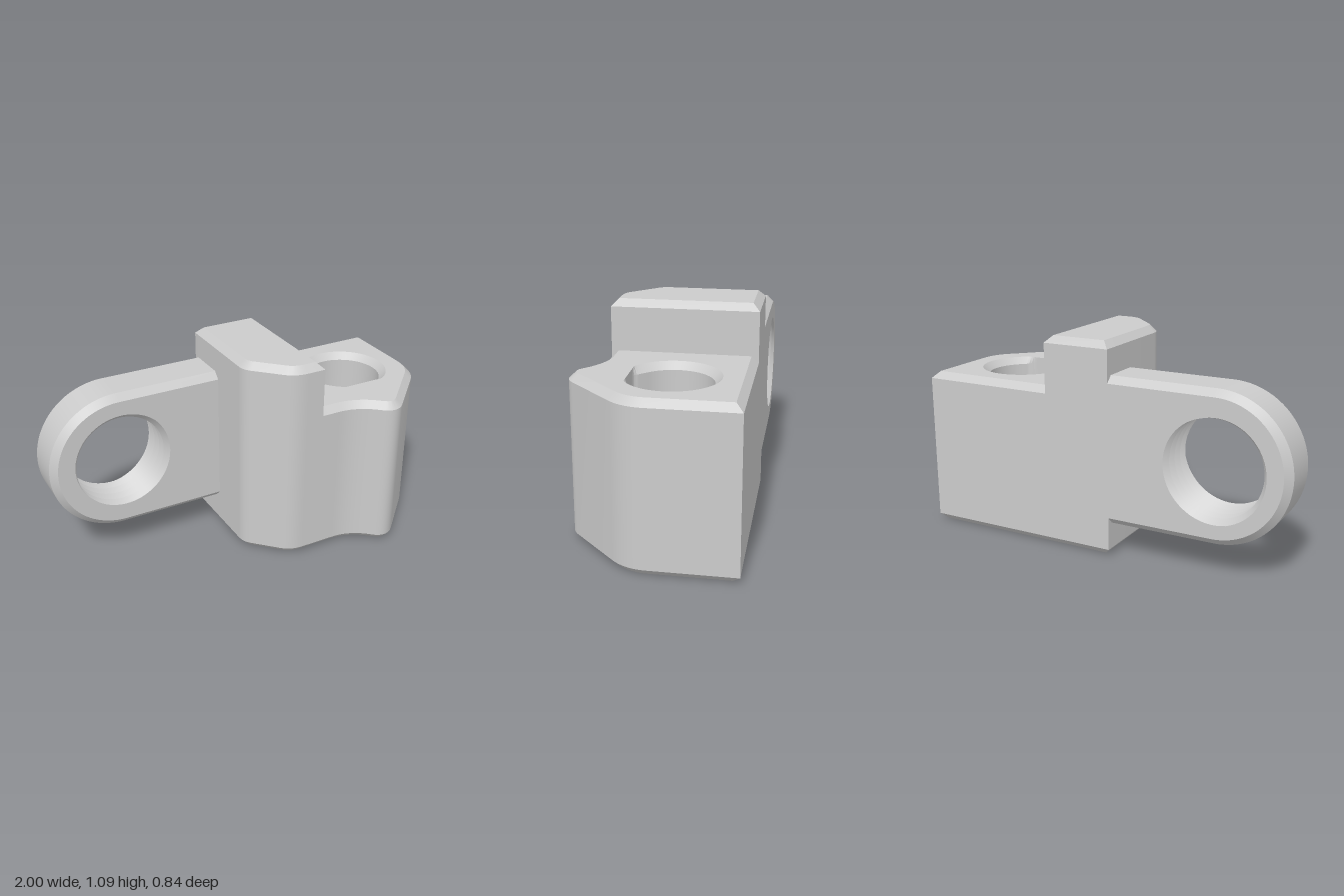
import * as THREE from 'three';
import { toCreasedNormals } from 'three/addons/utils/BufferGeometryUtils.js';

const CHAMFER = 0.035;
const at = (pts, h) => pts.map(p => new THREE.Vector3(p.x, p.y, h));

// Adds one triangle, skipping collapsed ones.
function addTri(out, a, b, c) {
  const area = b.clone().sub(a).cross(c.clone().sub(a)).length();
  if (area > 1e-9) for (const p of [a, b, c]) out.push(p.x, p.y, p.z);
}

// Skin between consecutive loops; rising loops face outward, falling ones inward.
function loft(out, loops, closed = true) {
  for (let k = 0; k + 1 < loops.length; k++) {
    const lo = loops[k], hi = loops[k + 1], n = lo.length;
    for (let i = 0; i < (closed ? n : n - 1); i++) {
      const j = (i + 1) % n;
      addTri(out, lo[i], lo[j], hi[j]);
      addTri(out, lo[i], hi[j], hi[i]);
    }
  }
}

// Flat face with optional hole, facing up or down the extrusion axis.
function cap(out, pts, h, up, hole = null) {
  const holes = hole ? [hole.slice().reverse()] : [];
  const all = at([...pts, ...holes.flat()], h);
  for (const [a, b, c] of THREE.ShapeUtils.triangulateShape(pts.slice(), holes)) {
    const ccw = (all[b].x - all[a].x) * (all[c].y - all[a].y) - (all[b].y - all[a].y) * (all[c].x - all[a].x) > 0;
    if (ccw === up) addTri(out, all[a], all[b], all[c]);
    else addTri(out, all[a], all[c], all[b]);
  }
}

// Moves each edge of a counter-clockwise outline inward by its own distance.
function inset(pts, dist) {
  const n = pts.length;
  const normals = pts.map((p, i) => {
    const q = pts[(i + 1) % n];
    return new THREE.Vector2(p.y - q.y, q.x - p.x).normalize();
  });
  return pts.map((p, i) => {
    const k = (i + n - 1) % n, a = normals[k], b = normals[i], da = dist(k), db = dist(i);
    const det = a.x * b.y - a.y * b.x;
    if (Math.abs(det) < 1e-4) return new THREE.Vector2(p.x + a.x * da, p.y + a.y * da);
    return new THREE.Vector2(p.x + (da * b.y - db * a.y) / det, p.y + (a.x * db - b.x * da) / det);
  });
}

// Prism with chamfered ends; edges named in the skip arguments stay sharp.
function prism(out, pts, h0, h1, { skipLow = -1, skipHigh = -1, holeLow, holeHigh } = {}) {
  const low = inset(pts, i => (i === skipLow ? 0 : CHAMFER));
  const high = inset(pts, i => (i === skipHigh ? 0 : CHAMFER));
  loft(out, [at(low, h0), at(pts, h0 + CHAMFER)]);
  loft(out, [at(pts, h0 + CHAMFER), at(pts, h1 - CHAMFER)]);
  loft(out, [at(pts, h1 - CHAMFER), at(high, h1)]);
  cap(out, low, h0, false, holeLow);
  cap(out, high, h1, true, holeHigh);
}

// Closed or open ring of points whose radius depends on the angle.
function ring(cx, cy, n, radius) {
  return Array.from({ length: n }, (_, i) => {
    const t = i / n * Math.PI * 2, r = radius(t);
    return new THREE.Vector2(cx + r * Math.cos(t), cy + r * Math.sin(t));
  });
}

function makeMesh(name, out) {
  const geo = new THREE.BufferGeometry();
  geo.setAttribute('position', new THREE.Float32BufferAttribute(out, 3));
  const mesh = new THREE.Mesh(toCreasedNormals(geo, 0.5), new THREE.MeshStandardMaterial({ color: 0xcccccc }));
  mesh.name = name;
  return mesh;
}

// Tall block beside the plate, drawn in plan (back is up).
function makeTower() {
  const s = new THREE.Shape();
  s.moveTo(0.285, 0.42);
  s.lineTo(-0.07, 0.42);
  s.lineTo(-0.07, -0.07);
  s.quadraticCurveTo(-0.07, -0.115, -0.038, -0.147);
  s.lineTo(0.08, -0.265);
  s.quadraticCurveTo(0.12, -0.305, 0.19, -0.305);
  s.lineTo(0.285, -0.305);
  const pts = s.getPoints(8), out = [];
  prism(out, pts, 0, 1.09, { skipLow: pts.length - 1 });
  return makeMesh('tower', out);
}

// Lower block with pointed front and a blind teardrop socket in its top.
function makeBlock() {
  const s = new THREE.Shape();
  s.moveTo(1, 0.42);
  s.lineTo(0.285, 0.42);
  s.lineTo(0.285, -0.305);
  s.lineTo(0.38, -0.305);
  s.quadraticCurveTo(0.495, -0.305, 0.581, -0.391);
  s.quadraticCurveTo(0.645, -0.45, 0.709, -0.391);
  s.lineTo(0.929, -0.171);
  s.quadraticCurveTo(1, -0.1, 1, 0);
  const out = [], flat = 0.2, R = 0.195, floor = 0.12, top = 0.835;
  const fromFront = t => Math.abs(t - Math.PI * 1.5);
  const cut = f => (f < 1 ? flat / Math.cos(f) : Infinity);
  const rim = ring(0.645, 0.06, 96, t => Math.min(0.23, cut(fromFront(t))));
  const bore = ring(0.645, 0.06, 96, t => {
    const f = fromFront(t);
    return f < Math.PI / 4 ? Math.min(R / Math.cos(f - Math.PI / 4), cut(f)) : R;
  });
  prism(out, s.getPoints(10), 0, top, { skipLow: 1, skipHigh: 1, holeHigh: rim });
  loft(out, [at(rim, top), at(bore, top - CHAMFER), at(bore, floor)]);
  cap(out, bore, floor, true);
  return makeMesh('socketBlock', out);
}

// Round-ended plate with a helically threaded through hole.
function makePlate() {
  const cx = -0.6225, cy = 0.5475, R = 0.3775, z0 = -0.42, z1 = -0.155;
  const pitch = 0.06, n = 72, out = [];
  const s = new THREE.Shape();
  s.moveTo(-0.07, cy - R);
  s.lineTo(-0.07, cy + R);
  s.lineTo(cx, cy + R);
  s.absarc(cx, cy, R, Math.PI / 2, Math.PI * 1.5, false);
  const pts = s.getPoints(20);

  // V thread radius at angle t and depth z
  const radius = (t, z) => {
    const u = (z - z1) / pitch - (t - Math.PI / 4) / (Math.PI * 2);
    return 0.245 + 0.028 * Math.abs(1 - 2 * (u - Math.floor(u)));
  };
  const holeAt = z => ring(cx, cy, n, t => radius(t, z));
  prism(out, pts, z0, z1, { skipLow: 0, skipHigh: 0, holeLow: holeAt(z0), holeHigh: holeAt(z1) });

  // rows follow the crests and roots of the helix, trimmed at both faces
  const rows = [];
  for (let k = 4; k >= -14; k--) {
    rows.push(Array.from({ length: n + 1 }, (_, i) => {
      const t = i / n * Math.PI * 2;
      const z = THREE.MathUtils.clamp(z1 + pitch * (k / 2 + i / n - 1 / 8), z0, z1);
      const r = radius(t, z);
      return new THREE.Vector3(cx + r * Math.cos(t), cy + r * Math.sin(t), z);
    }));
  }
  loft(out, rows, false);
  return makeMesh('threadedPlate', out);
}

export function createModel() {
  const model = new THREE.Group();
  model.name = 'bracket';
  const body = new THREE.Group();
  body.name = 'body';
  body.add(makeTower(), makeBlock());
  body.rotation.x = -Math.PI / 2;
  model.add(body, makePlate());
  return model;
}
